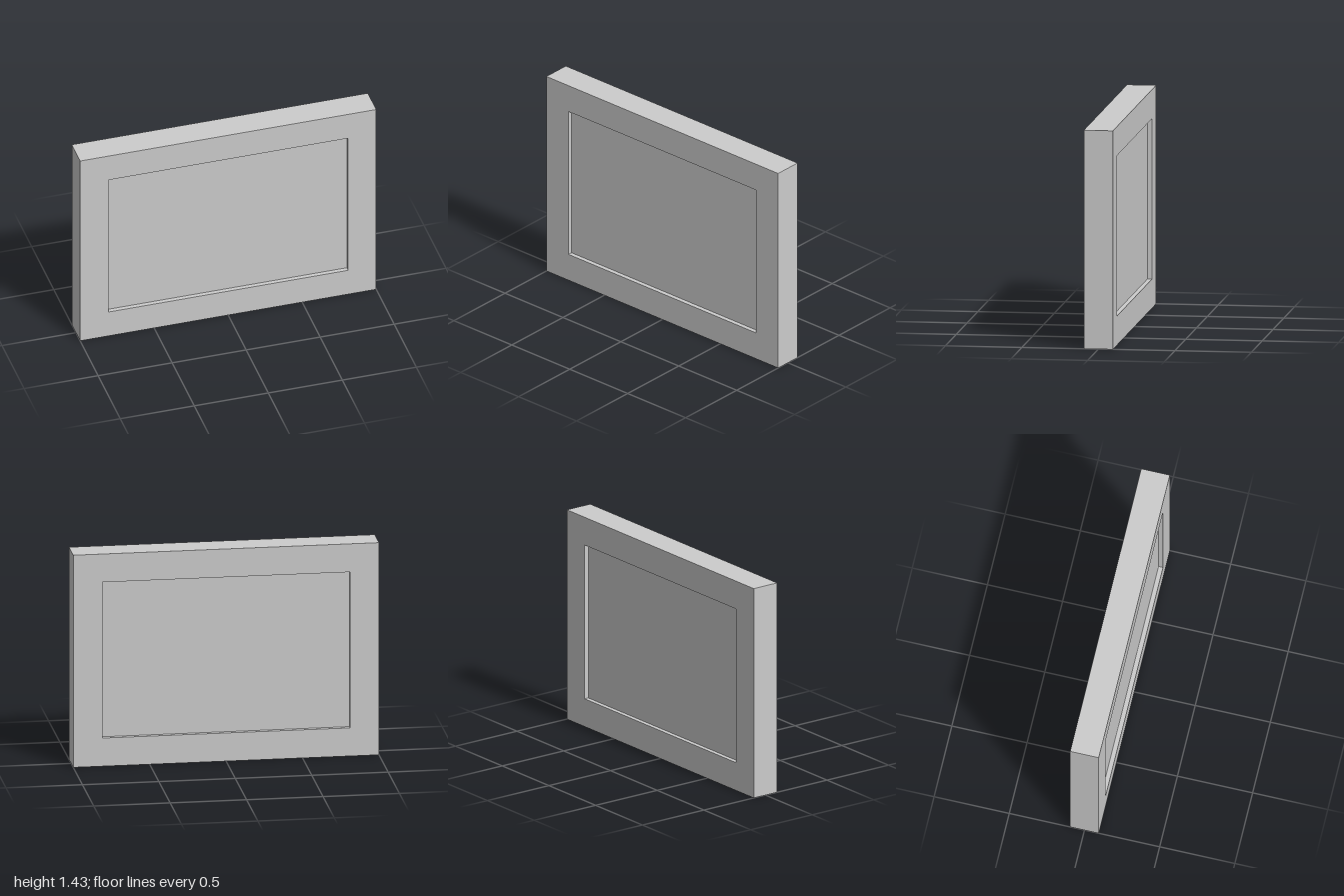
import * as THREE from 'three';

const WIDTH = 2, HEIGHT = 1.43, DEPTH = 0.19;
const BORDER = 0.19; // width of the frame's rails
const RECESS = 0.03; // how far the panel sits back on each face

// Rectangle outline inset from the outer edge
function rectangle(PathType, inset) {
  const x = WIDTH / 2 - inset, y0 = inset, y1 = HEIGHT - inset;
  return new PathType([
    new THREE.Vector2(-x, y0), new THREE.Vector2(x, y0),
    new THREE.Vector2(x, y1), new THREE.Vector2(-x, y1),
    new THREE.Vector2(-x, y0),
  ]);
}

export function createModel() {
  const model = new THREE.Group();
  model.name = 'framedPanel';
  const material = new THREE.MeshStandardMaterial({ color: 0xcccccc });

  // Frame with a rectangular opening
  const outline = rectangle(THREE.Shape, 0);
  outline.holes.push(rectangle(THREE.Path, BORDER));
  const frameGeometry = new THREE.ExtrudeGeometry(outline, { depth: DEPTH, bevelEnabled: false });
  frameGeometry.translate(0, 0, -DEPTH / 2);
  const frame = new THREE.Mesh(frameGeometry, material);
  frame.name = 'frame';

  // Panel filling the opening, recessed on front and back
  const panel = new THREE.Mesh(
    new THREE.BoxGeometry(WIDTH - 2 * BORDER, HEIGHT - 2 * BORDER, DEPTH - 2 * RECESS),
    material
  );
  panel.name = 'panel';
  panel.position.y = HEIGHT / 2;

  model.add(frame, panel);
  return model;
}
